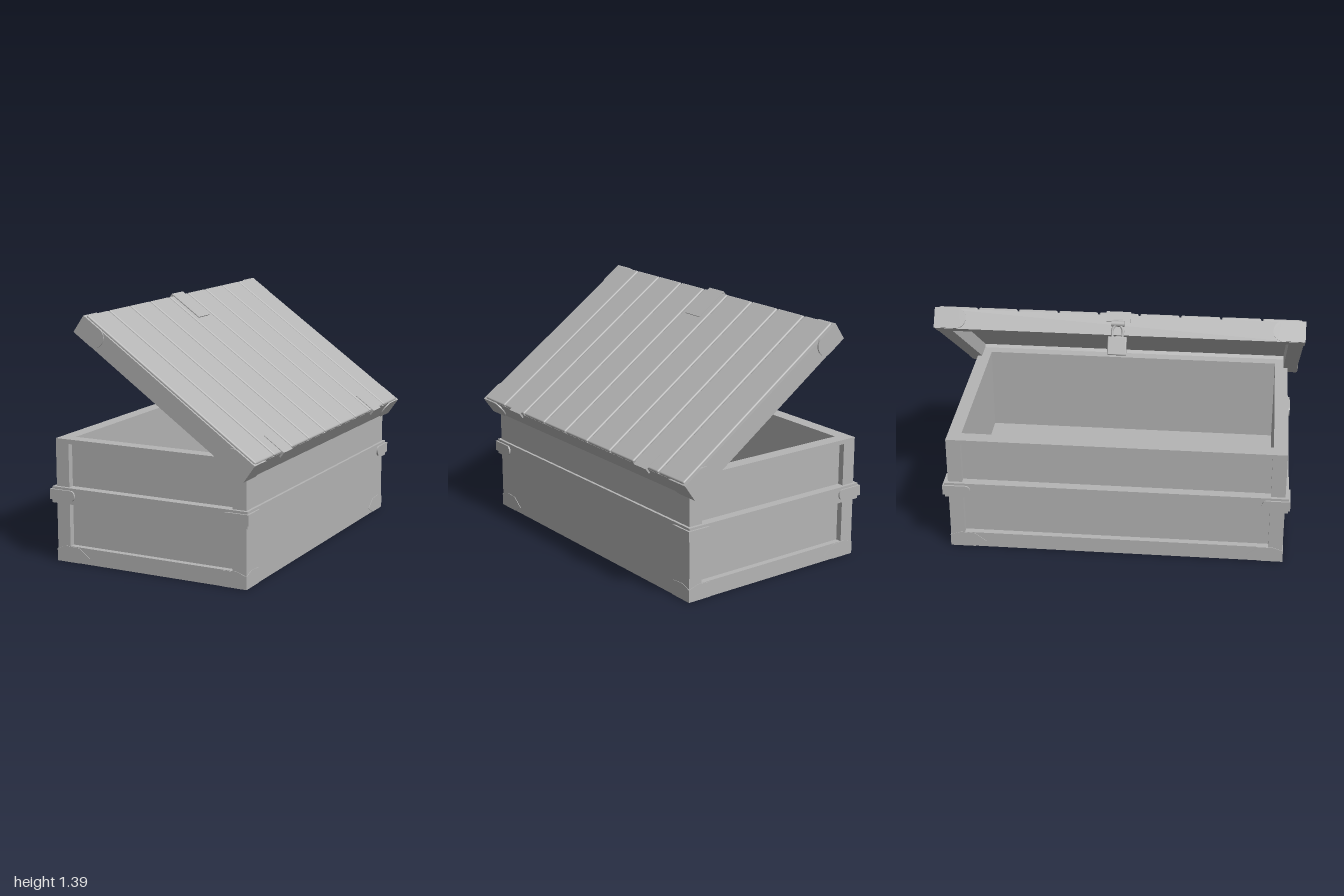
import * as THREE from 'three';
import { RoundedBoxGeometry } from 'three/addons/geometries/RoundedBoxGeometry.js';

const grey = new THREE.MeshStandardMaterial({ color: 0xb4b4b4 });
grey.name = 'plain grey';

function add(parent, name, geometry, x = 0, y = 0, z = 0) {
  const mesh = new THREE.Mesh(geometry, grey);
  mesh.name = name;
  mesh.position.set(x, y, z);
  parent.add(mesh);
  return mesh;
}

const box = (w, h, d) => new THREE.BoxGeometry(w, h, d);

// Box given by its limits
function block(parent, name, x0, x1, y0, y1, z0, z1) {
  return add(parent, name, box(x1 - x0, y1 - y0, z1 - z0), (x0 + x1) / 2, (y0 + y1) / 2, (z0 + z1) / 2);
}

// Rectangle with a rectangular hole, extruded along z
function frame(outer, hole, depth) {
  const points = ([a, b, c, d]) => [[a, c], [b, c], [b, d], [a, d]].map(p => new THREE.Vector2(...p));
  const shape = new THREE.Shape(points(outer));
  shape.holes.push(new THREE.Path(points(hole).reverse()));
  return new THREE.ExtrudeGeometry(shape, { depth, bevelEnabled: false });
}

// Tongue with a rounded end, starting at x = 0
function tongue(length, height) {
  const h = height / 2, r = h * 0.9;
  const s = new THREE.Shape();
  s.moveTo(0, -h);
  s.lineTo(length - r, -h);
  s.absellipse(length - r, 0, r, h, -Math.PI / 2, Math.PI / 2, false);
  s.lineTo(0, h);
  s.closePath();
  return s;
}

// A pair of thin plates wrapped round each of four corners
function cornerPlates(parent, name, shape, thick, x0, x1, z, y) {
  const geo = new THREE.ExtrudeGeometry(shape, { depth: thick * 2, bevelEnabled: false, curveSegments: 10 });
  geo.translate(0, 0, -thick);
  for (const sz of [-1, 1]) {
    for (const sx of [-1, 1]) {
      const cx = sx < 0 ? x0 : x1;
      add(parent, name, geo, cx + sx * thick, y, sz * z).rotation.y = sx < 0 ? 0 : Math.PI;
      add(parent, name, geo, cx, y, sz * (z + thick)).rotation.y = sz * Math.PI / 2;
    }
  }
}

function buildBody() {
  const body = new THREE.Group();
  body.name = 'chestBody';

  // Inner shell and floor
  const shell = add(body, 'innerWalls', frame([-0.575, 0.54, -0.895, 0.895], [-0.53, 0.46, -0.855, 0.855], 0.685));
  shell.rotation.x = -Math.PI / 2;
  block(body, 'floor', -0.55, 0.5, 0, 0.19, -0.87, 0.87);

  // Raised frames around the recessed panels
  for (const z of [-0.93, 0.895]) {
    add(body, 'endFrame', frame([-0.61, 0.54, 0, 0.685], [-0.53, 0.46, 0.09, 0.66], 0.035), 0, 0, z);
  }
  const side = add(body, 'sideFrame', frame([-0.895, 0.895, 0, 0.685], [-0.85, 0.85, 0.09, 0.66], 0.035), -0.61);
  side.rotation.y = Math.PI / 2;

  // Band around the middle
  const band = add(body, 'band', frame([-0.628, 0.555, -0.948, 0.948], [-0.56, 0.5, -0.88, 0.88], 0.09), 0, 0.33);
  band.rotation.x = -Math.PI / 2;
  cornerPlates(body, 'bandCornerClip', tongue(0.155, 0.058), 0.01, -0.628, 0.555, 0.948, 0.378);

  // Pointed plates at the bottom corners
  const foot = new THREE.Shape([[0, 0], [0.14, 0], [0.205, 0.035], [0.14, 0.085], [0.06, 0.09], [0, 0.07]]
    .map(p => new THREE.Vector2(...p)));
  cornerPlates(body, 'footPlate', foot, 0.003, -0.61, 0.54, 0.93, 0);
  return body;
}

function buildLid() {
  // Origin at the lower hinge edge; the lid runs along -x
  const lid = new THREE.Group();
  lid.name = 'lid';
  lid.position.set(0.55, 0.585, 0);
  lid.rotation.z = -THREE.MathUtils.degToRad(35);

  const rim = add(lid, 'lidRim', frame([-1.205, -0.003, -0.985, 0.985], [-1.125, -0.083, -0.905, 0.905], 0.108));
  rim.rotation.x = -Math.PI / 2;
  block(lid, 'lidTop', -1.15, -0.05, 0.085, 0.106, -0.93, 0.93);

  // Nine planks
  const pitch = 0.217;
  const plank = new RoundedBoxGeometry(1.2, 0.034, pitch - 0.008, 2, 0.009);
  for (let i = -4; i <= 4; i++) add(lid, 'plank', plank, -0.604, 0.104, i * pitch);

  // Corner caps
  cornerPlates(lid, 'lidCornerCap', tongue(0.17, 0.11), 0.007, -1.205, -0.003, 0.985, 0.057);

  // Hinge straps
  for (const z of [-0.62, 0.62]) {
    block(lid, 'hingeStrap', -0.13, 0.006, 0.12, 0.124, z - 0.055, z + 0.055);
    block(lid, 'hingeLeaf', 0, 0.01, 0.09, 0.124, z - 0.055, z + 0.055);
  }

  // Clasp plate on the lid and its folded front
  block(lid, 'claspPlate', -1.212, -1.0, 0.12, 0.126, -0.065, 0.065);
  block(lid, 'claspFront', -1.215, -1.205, 0.07, 0.126, -0.065, 0.065);
  return lid;
}

function buildLock() {
  const lock = new THREE.Group();
  lock.name = 'lock';

  // Hasp arm, knuckle and staple at the lid edge
  const arm = add(lock, 'haspArm', box(0.065, 0.012, 0.05), -0.4, 1.345, 0);
  arm.rotation.z = 0.3;
  const knuckle = add(lock, 'haspKnuckle', new THREE.CylinderGeometry(0.016, 0.016, 0.07, 14), -0.422, 1.337, 0);
  knuckle.rotation.x = Math.PI / 2;
  const staple = add(lock, 'staple', box(0.01, 0.08, 0.03), -0.418, 1.255, 0);
  staple.rotation.z = -0.4;

  // Hanging padlock
  const padlock = new THREE.Group();
  padlock.name = 'padlock';
  padlock.position.set(-0.485, 1.237, 0);
  padlock.rotation.z = -Math.PI / 6;
  add(padlock, 'padlockBody', new RoundedBoxGeometry(0.032, 0.098, 0.1, 2, 0.005));
  const path = new THREE.CatmullRomCurve3([[0.04, -0.026], [0.09, -0.026], [0.115, 0], [0.09, 0.026], [0.04, 0.026]]
    .map(([y, z]) => new THREE.Vector3(0, y, z)));
  add(padlock, 'shackle', new THREE.TubeGeometry(path, 24, 0.007, 8));
  lock.add(padlock);
  return lock;
}

export function createModel() {
  const model = new THREE.Group();
  model.name = 'openChest';
  model.add(buildBody(), buildLid(), buildLock());
  return model;
}
